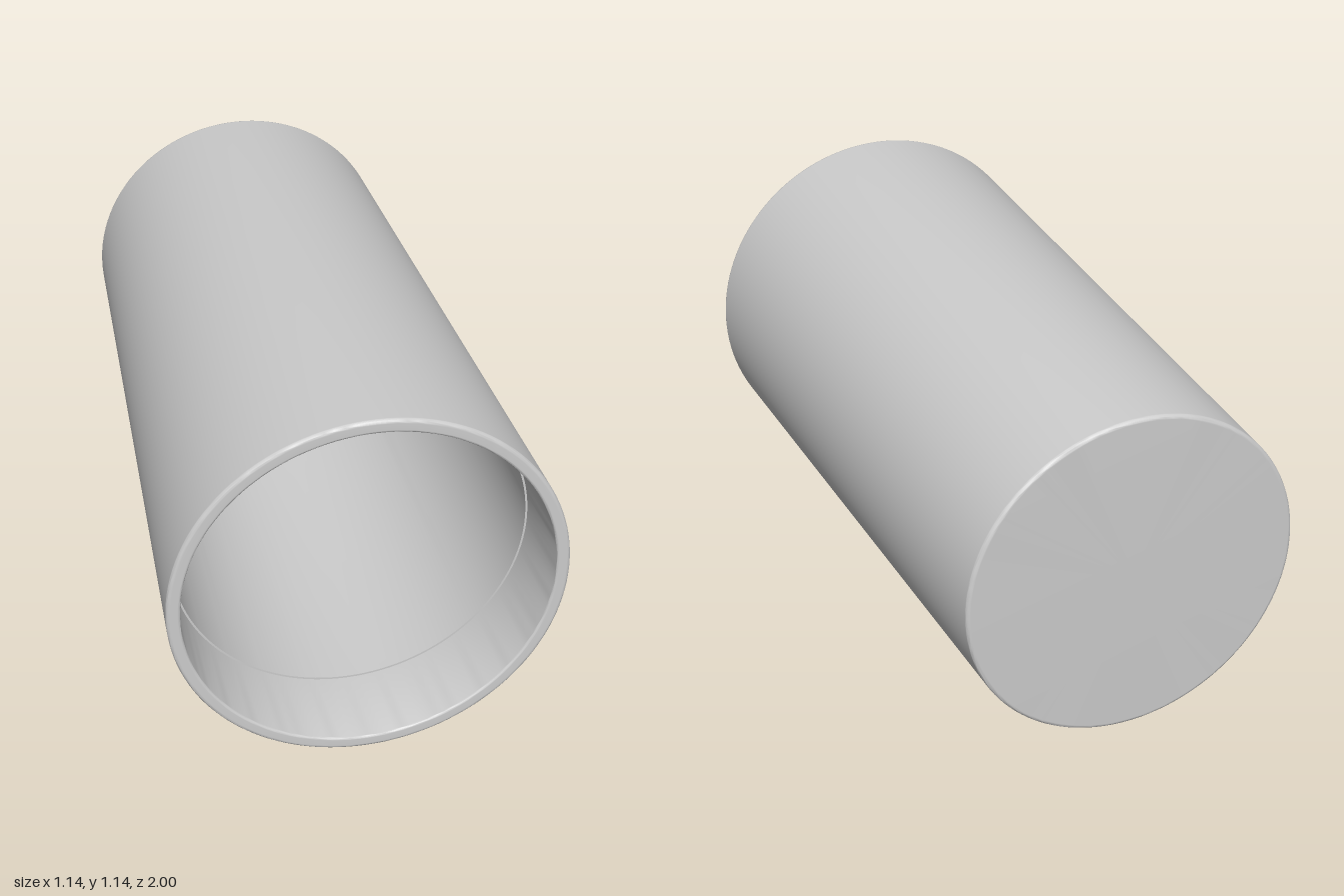
import * as THREE from 'three';
import { toCreasedNormals } from 'three/addons/utils/BufferGeometryUtils.js';

const SEGMENTS = 128;

// Turns [radius, z, fillet] corners into a profile with rounded corners;
// extra points beside each fillet keep the long walls evenly shaded.
function roundedProfile(corners) {
  const pts = corners.map(([r, z]) => new THREE.Vector2(r, z));
  const out = [];
  corners.forEach(([, , fillet = 0], i) => {
    const p = pts[i];
    if (!fillet) {
      out.push(p);
      return;
    }
    const toward = (q, d) => p.clone().add(q.clone().sub(p).setLength(d));
    const a = pts[i - 1], b = pts[i + 1];
    const arc = new THREE.QuadraticBezierCurve(toward(a, fillet), p, toward(b, fillet));
    out.push(toward(a, fillet * 1.15), ...arc.getPoints(7), toward(b, fillet * 1.15));
  });
  return out;
}

export function createModel() {
  const group = new THREE.Group();
  group.name = 'cup';

  // Closed shell: back face, tapered outside, rim, inner ledge, inside wall, floor
  const profile = roundedProfile([
    [0, -1],
    [0.5, -1, 0.012],
    [0.57, 1, 0.012],
    [0.53, 1, 0.008],
    [0.523, 0.75],
    [0.517, 0.75],
    [0.495, -0.95, 0.015],
    [0, -0.95],
  ]);
  const geometry = toCreasedNormals(new THREE.LatheGeometry(profile, SEGMENTS), 0.6);
  geometry.rotateX(Math.PI / 2);

  const shell = new THREE.Mesh(
    geometry,
    new THREE.MeshStandardMaterial({ color: 0xcccccc, side: THREE.DoubleSide })
  );
  shell.name = 'cupShell';
  shell.position.y = 0.57;
  group.add(shell);
  return group;
}
